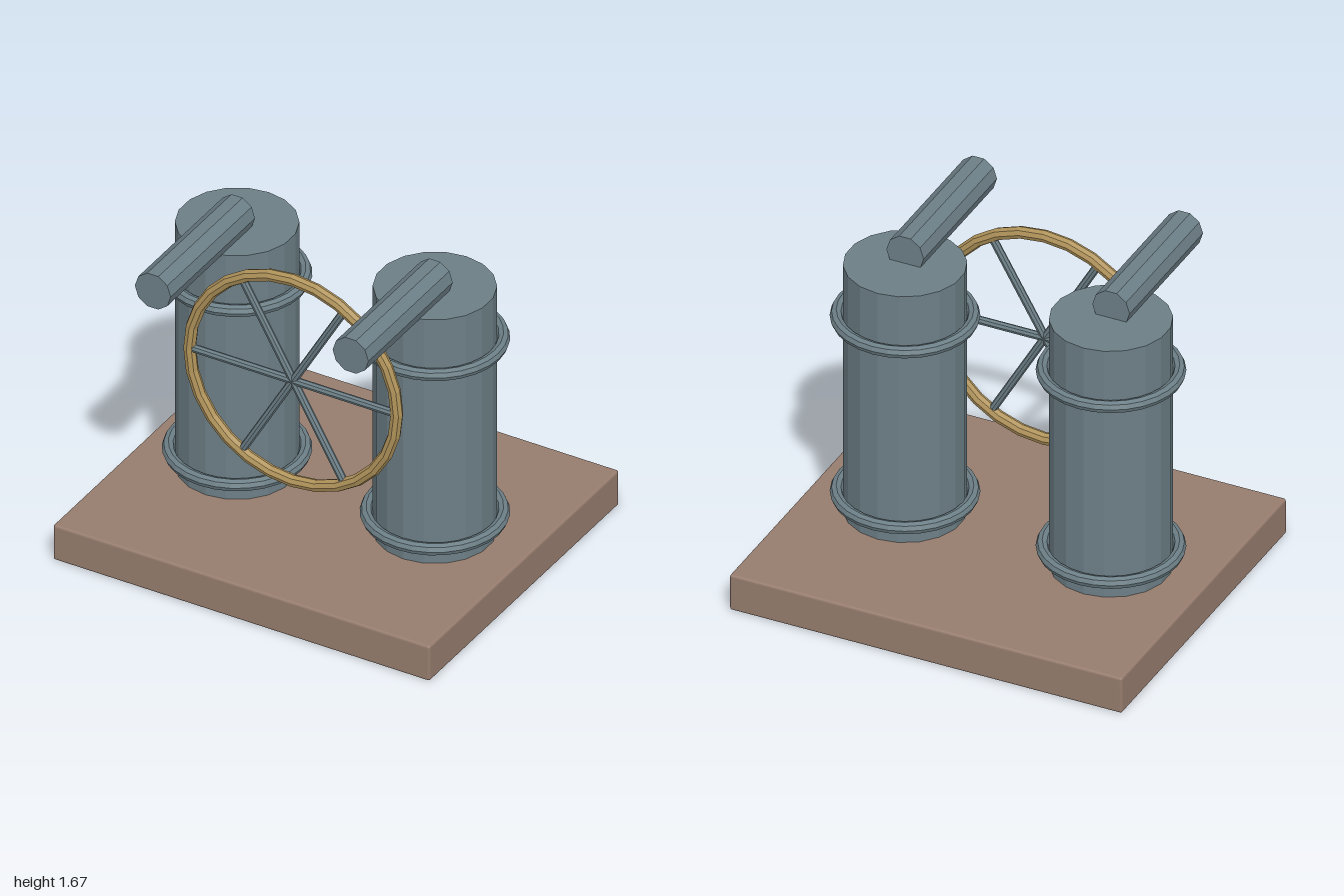
import * as THREE from 'three';
import { RoundedBoxGeometry } from 'three/addons/geometries/RoundedBoxGeometry.js';

const mat = (color) => new THREE.MeshStandardMaterial({ color, flatShading: true });

export function createModel() {
  const model = new THREE.Group();
  model.name = 'twinColumnWheelMachine';
  const metal = mat(0x6c7f86);
  const brass = mat(0xb0935a);
  const clay = mat(0x967c6e);

  const add = (parent, name, geometry, material, x, y, z) => {
    const mesh = new THREE.Mesh(geometry, material);
    mesh.name = name;
    mesh.position.set(x, y, z);
    parent.add(mesh);
    return mesh;
  };

  // Base slab with slightly softened edges
  add(model, 'base', new RoundedBoxGeometry(2, 0.19, 1.71, 2, 0.012), clay, 0, 0.095, 0);

  // Two columns, each with two bands and a forward-pointing pipe on top
  const columnGeo = new THREE.CylinderGeometry(0.285, 0.285, 1.34, 18);
  const bandGeo = new THREE.TorusGeometry(0.315, 0.03, 8, 28).rotateX(Math.PI / 2);
  const pipeGeo = new THREE.CylinderGeometry(0.095, 0.095, 0.76, 10, 1, false, Math.PI / 2)
    .rotateX(Math.PI / 2);
  for (const side of [-1, 1]) {
    const tower = new THREE.Group();
    tower.name = side > 0 ? 'leftTower' : 'rightTower';
    tower.position.x = side * 0.525;
    add(tower, 'column', columnGeo, metal, 0, 0.855, 0);
    add(tower, 'lowerBand', bandGeo, metal, 0, 0.29, 0);
    add(tower, 'upperBand', bandGeo, metal, 0, 1.245, 0);
    add(tower, 'pipe', pipeGeo, metal, 0, 1.575, 0.38);
    model.add(tower);
  }

  // Spoked wheel in front of the columns
  const wheel = new THREE.Group();
  wheel.name = 'wheel';
  wheel.position.set(0, 1.05, 0.385);
  add(wheel, 'rim', new THREE.TorusGeometry(0.55, 0.03, 8, 28), brass, 0, 0, 0);
  const spokeGeo = new THREE.CylinderGeometry(0.02, 0.02, 1.08, 8).rotateZ(Math.PI / 2);
  for (let i = 0; i < 3; i++) {
    add(wheel, 'spoke', spokeGeo, metal, 0, 0, 0).rotation.z = (i * Math.PI) / 3;
  }
  model.add(wheel);

  return model;
}
